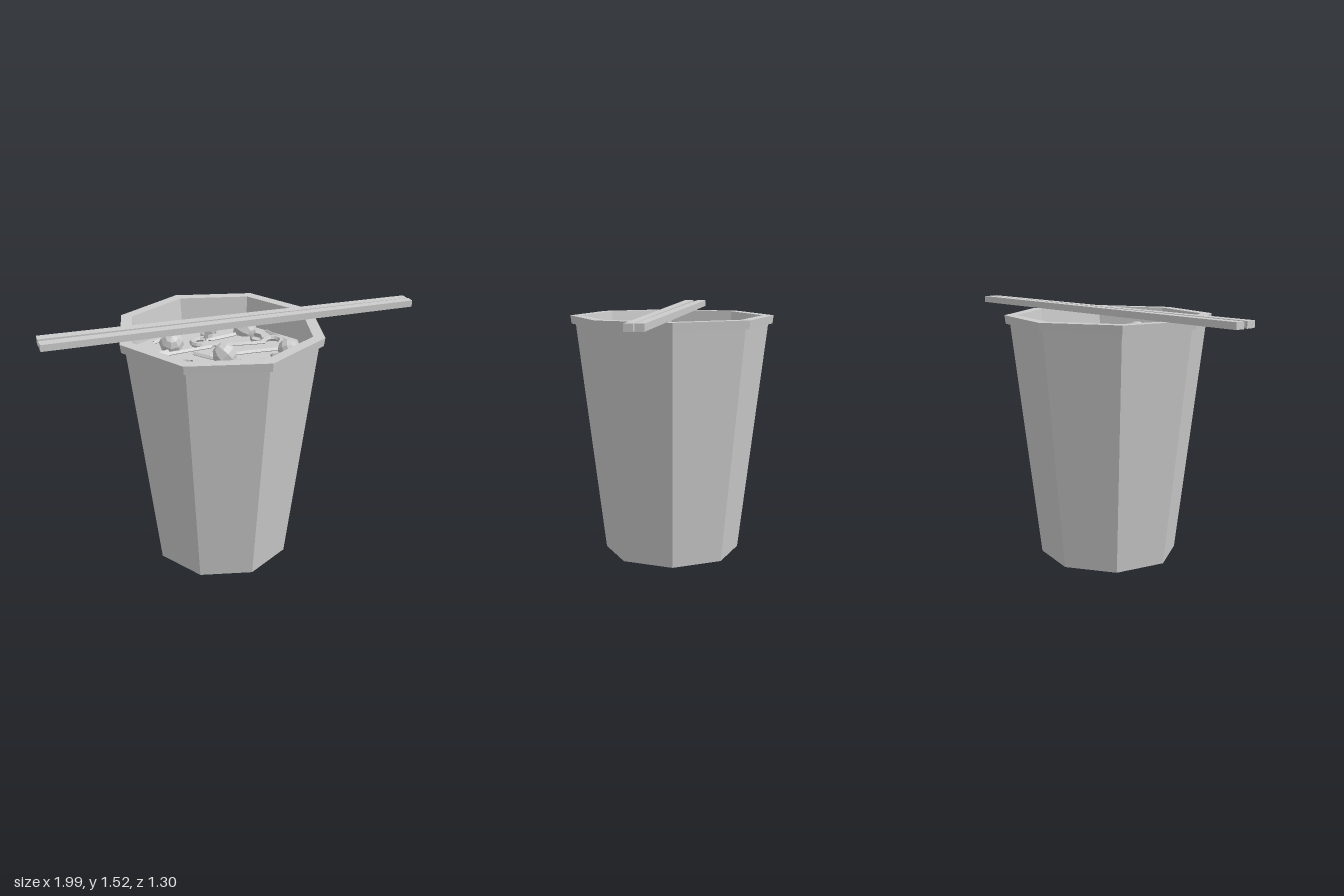
import * as THREE from 'three';

const GREY = new THREE.MeshStandardMaterial({ color: 0xcccccc, flatShading: true });
const THIN = new THREE.MeshStandardMaterial({ color: 0xcccccc, flatShading: true, side: THREE.DoubleSide });
const SOUP_Y = 1.3;

function add(parent, name, geometry, x = 0, y = 0, z = 0, material = GREY) {
  const mesh = new THREE.Mesh(geometry, material);
  mesh.name = name;
  mesh.position.set(x, y, z);
  parent.add(mesh);
  return mesh;
}

// Eight-sided turned shape; profile is [distance to flat side, height]
function octagon(profile) {
  const k = 1 / Math.cos(Math.PI / 8);
  return new THREE.LatheGeometry(profile.map(([a, y]) => new THREE.Vector2(a * k, y)), 8, Math.PI / 8);
}

// Flat stick from (x0,z0) to (x1,z1), narrowing along its length
function stick(parent, x0, z0, x1, z1) {
  const length = Math.hypot(x1 - x0, z1 - z0);
  const geo = new THREE.BoxGeometry(length, 0.04, 1);
  const p = geo.attributes.position;
  for (let i = 0; i < p.count; i++) p.setZ(i, p.getZ(i) * (p.getX(i) < 0 ? 0.062 : 0.05));
  const mesh = add(parent, 'chopstick', geo, (x0 + x1) / 2, 1.5, (z0 + z1) / 2);
  mesh.rotation.y = -Math.atan2(z1 - z0, x1 - x0);
}

export function createModel() {
  const model = new THREE.Group();
  model.name = 'noodleCup';

  // Cup
  const cup = new THREE.Group();
  cup.name = 'cup';
  cup.position.set(-0.073, 0, -0.037);
  model.add(cup);
  add(cup, 'cupBody', octagon([[0, 0], [0.388, 0], [0.547, 1.43]]));
  add(cup, 'cupRim', octagon([[0.547, 1.43], [0.571, 1.43], [0.577, 1.48], [0.512, 1.48]]));
  add(cup, 'innerWall', octagon([[0.512, 1.48], [0.492, SOUP_Y]]));
  add(cup, 'soup', octagon([[0.494, SOUP_Y], [0, SOUP_Y]]));

  // Noodles lying half sunk in the soup, as [x, z] paths
  const noodles = [
    [[-0.2, -0.46], [0.09, -0.45], [0.17, -0.36], [0.16, -0.28]],
    [[0.14, -0.53], [0.24, -0.42], [0.35, -0.32]],
    [[-0.33, -0.29], [-0.21, -0.24], [-0.02, -0.15]],
    [[-0.55, -0.17], [-0.42, -0.16], [-0.3, -0.08]],
    [[-0.55, 0.08], [-0.51, 0.02], [-0.37, 0.03], [-0.29, 0.12]],
    [[-0.48, 0.23], [-0.32, 0.22], [-0.2, 0.13]],
    [[-0.15, -0.05], [0.08, 0.09], [0.26, 0.22]],
    [[0, -0.17], [0.13, -0.04], [0.24, 0.05]],
    [[0.03, -0.24], [0.23, -0.17]],
    [[-0.2, 0.2], [-0.24, 0.3], [-0.17, 0.4], [0, 0.43]],
    [[-0.06, 0.12], [0.02, 0.22], [0.06, 0.36]],
    [[0.13, 0.42], [0.17, 0.32], [0.28, 0.31]],
    [[-0.32, -0.46], [-0.39, -0.34], [-0.24, -0.3]],
    [[0.4, -0.06], [0.37, 0.04], [0.33, 0.17]],
    [[-0.17, -0.16], [-0.15, 0], [-0.08, 0.12]],
  ];
  for (const path of noodles) {
    const curve = new THREE.CatmullRomCurve3(
      path.map(([x, z]) => new THREE.Vector3(x, SOUP_Y + 0.006, z)), false, 'catmullrom', 0.15);
    add(model, 'noodle', new THREE.TubeGeometry(curve, path.length * 3, 0.013, 4), 0, 0, 0, THIN);
  }

  // Meatballs: [x, z, radius]
  const balls = [[-0.17, -0.34, 0.076], [0.3, -0.155, 0.074], [-0.43, 0.14, 0.076],
    [-0.145, 0.35, 0.076], [0.21, 0.25, 0.062], [-0.1, 0.02, 0.074]];
  balls.forEach(([x, z, r], i) => {
    const ball = add(model, 'meatball', new THREE.SphereGeometry(r, 8, 6), x, SOUP_Y + 0.025, z);
    ball.rotation.set(0.5 + i, i * 1.3, 0.4);
  });

  // Curled shrimps: [x, z, turn]
  const shrimps = [[-0.02, -0.235, 0.6], [-0.23, 0.135, 3.3], [-0.35, -0.08, 0], [0.27, 0.09, -1.4]];
  for (const [x, z, turn] of shrimps) {
    const arc = new THREE.TorusGeometry(0.055, 0.018, 6, 7, 3.6).rotateZ(-0.23).rotateX(-Math.PI / 2);
    add(model, 'shrimp', arc, x, SOUP_Y + 0.015, z, THIN).rotation.y = turn;
  }

  // Onion rings: [x, z, tilt]
  const rings = [[0.09, -0.29, 0], [0.2, -0.34, 0.25], [0.245, -0.02, 0.2],
    [-0.275, 0.275, 0], [-0.07, 0.245, 0], [0.11, 0.245, -0.25]];
  for (const [x, z, tilt] of rings) {
    const ring = add(model, 'onionRing',
      new THREE.CylinderGeometry(0.038, 0.038, 0.03, 6, 1, true), x, SOUP_Y + 0.012, z, THIN);
    ring.rotation.set(tilt, 0.5, tilt);
  }

  // Chopsticks resting across the rim
  const chopsticks = new THREE.Group();
  chopsticks.name = 'chopsticks';
  model.add(chopsticks);
  stick(chopsticks, -0.938, -0.63, 0.975, 0.575);
  stick(chopsticks, -0.983, -0.555, 0.953, 0.625);

  return model;
}
